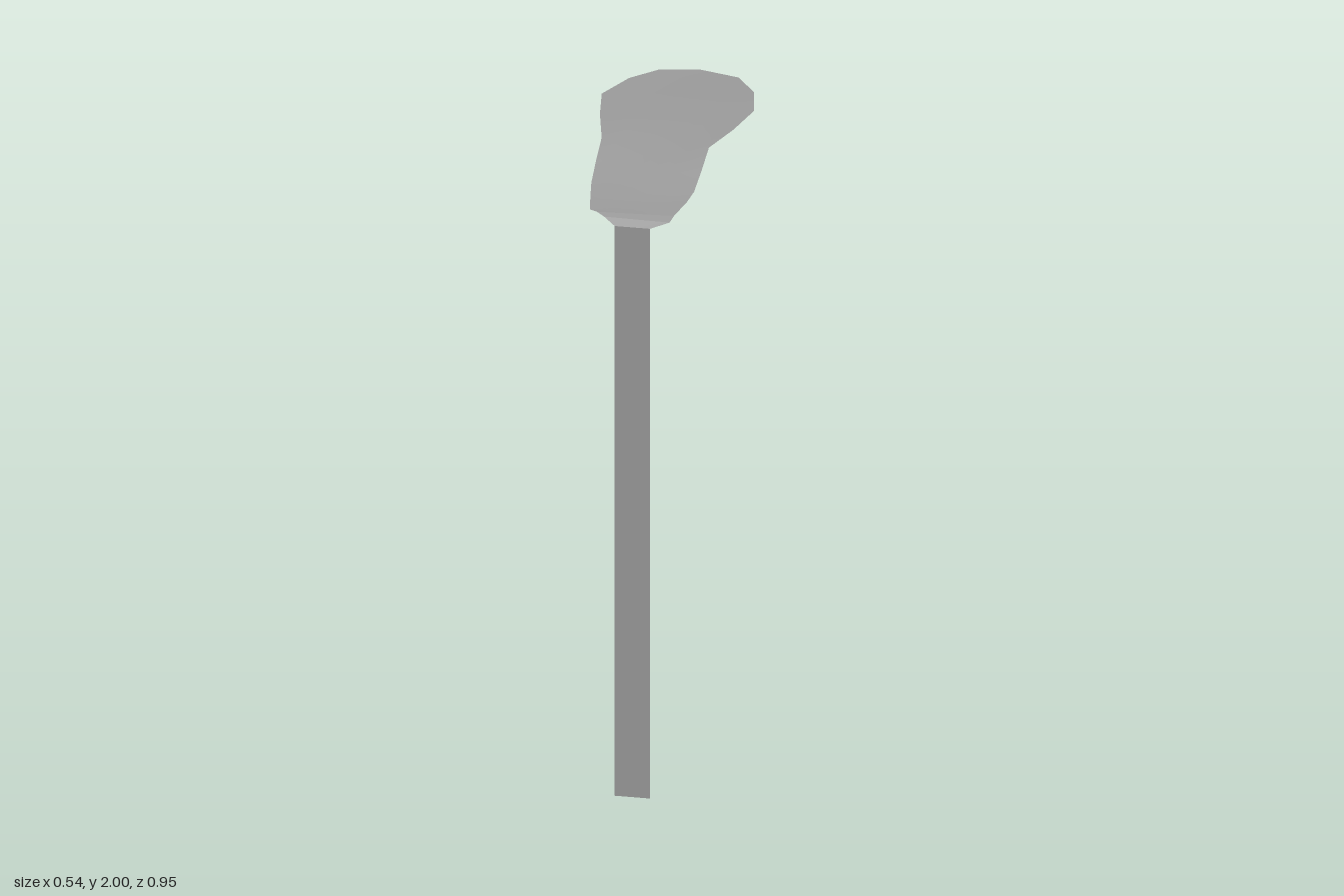
import * as THREE from 'three';

const material = new THREE.MeshStandardMaterial({ color: 0x999999, side: THREE.DoubleSide });

// Thin sheet lofted through rows, each given by its left and right end [x, y, z]
function sheet(name, rows, columns) {
  const positions = [], index = [];
  rows.forEach(([a, b], r) => {
    const start = new THREE.Vector3(...a), end = new THREE.Vector3(...b);
    for (let c = 0; c <= columns; c++) {
      positions.push(...start.clone().lerp(end, c / columns).toArray());
      if (r === 0 || c === 0) continue;
      const d = r * (columns + 1) + c, up = d - columns - 1;
      index.push(up - 1, d - 1, up, up, d - 1, d);
    }
  });
  const geometry = new THREE.BufferGeometry();
  geometry.setAttribute('position', new THREE.Float32BufferAttribute(positions, 3));
  geometry.setIndex(index);
  geometry.computeVertexNormals();
  const mesh = new THREE.Mesh(geometry, material);
  mesh.name = name;
  return mesh;
}

export function createModel() {
  const model = new THREE.Group();
  model.name = 'bladeOnStem';

  // Sole-shaped blade, from the rounded far end down to the narrow near end
  const blade = [
    [[-0.005, 2, -0.475], [0.12, 2, -0.465]],
    [[-0.1, 1.995, -0.42], [0.23, 1.996, -0.4]],
    [[-0.19, 1.985, -0.315], [0.27, 1.991, -0.28]],
    [[-0.205, 1.973, -0.17], [0.26, 1.982, -0.14]],
    [[-0.21, 1.955, -0.01], [0.19, 1.967, -0.02]],
    [[-0.235, 1.918, 0.1], [0.108, 1.955, 0.1]],
    [[-0.255, 1.887, 0.2], [0.08, 1.92, 0.2]],
    [[-0.263, 1.873, 0.28], [0.05, 1.887, 0.3]],
    [[-0.27, 1.86, 0.36], [0.025, 1.875, 0.355]],
    [[-0.25, 1.861, 0.385], [-0.02, 1.862, 0.44]],
  ];
  model.add(sheet('blade', blade, 6));

  // Narrow lip along the near end, then a steep collar folding down to the stem
  const lip = [[-0.23, 1.854, 0.41], [-0.035, 1.852, 0.47]];
  const stemTop = [[-0.2, 1.835, 0.443], [-0.095, 1.835, 0.475]];
  model.add(sheet('lip', [blade[blade.length - 1], lip], 6));
  model.add(sheet('collar', [lip, stemTop], 6));

  // Long flat stem, turned slightly about the vertical
  model.add(sheet('stem', [stemTop, stemTop.map(([x, , z]) => [x, 0, z])], 2));

  return model;
}
